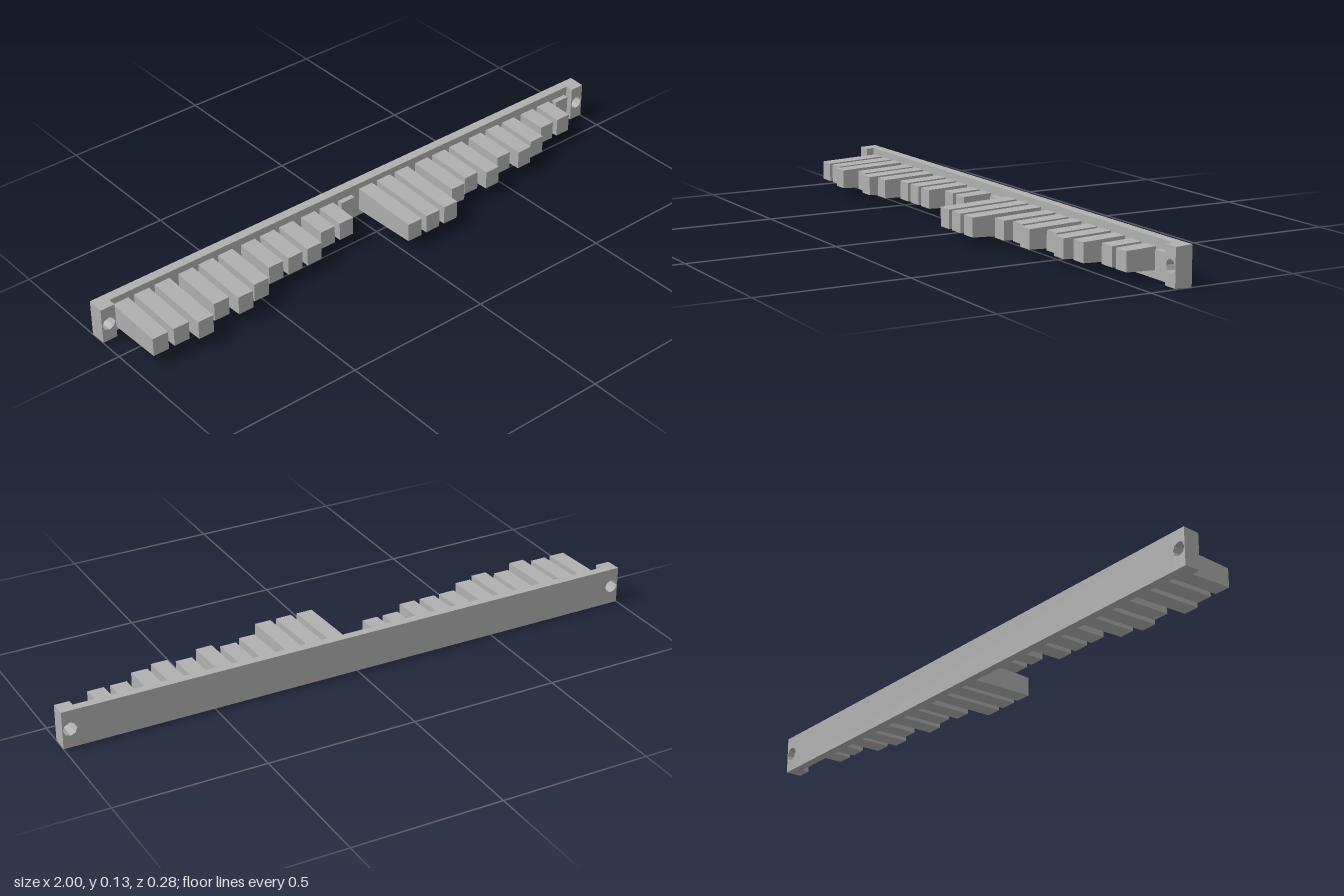
import * as THREE from 'three';

const MID = 0.063;    // height of the centre line
const BACK = -0.139;  // rear face of the rail
const DRAFT = 0.04;   // taper of top and bottom faces per unit of depth

// Moves top and bottom inward towards the front; half height is exact at refZ
function applyDraft(geometry, halfHeight, refZ) {
  const p = geometry.attributes.position;
  for (let i = 0; i < p.count; i++) {
    const scale = 1 + DRAFT * (refZ - p.getZ(i)) / halfHeight;
    p.setY(i, p.getY(i) * scale);
  }
  geometry.computeVertexNormals();
  return geometry;
}

// Box from x centre, width, half height at refZ and a z range
function draftedBox(width, halfHeight, z0, z1, refZ) {
  const g = new THREE.BoxGeometry(width, halfHeight * 2, z1 - z0);
  g.translate(0, 0, (z0 + z1) / 2);
  return applyDraft(g, halfHeight, refZ);
}

export function createModel() {
  const group = new THREE.Group();
  const grey = new THREE.MeshStandardMaterial({ color: 0xb0b0b0 });
  const add = (name, geometry, x) => {
    const mesh = new THREE.Mesh(geometry, grey);
    mesh.name = name;
    mesh.position.set(x, MID, 0);
    group.add(mesh);
  };

  // Thin rail between the two end blocks
  add('rail', draftedBox(1.9, MID, BACK, -0.108, BACK), 0);

  // Deeper end blocks, each with a screw hole through it
  const half = 0.025;
  const blockDepth = 0.057;
  for (const side of [-1, 1]) {
    const outline = new THREE.Shape([
      new THREE.Vector2(-half, -MID), new THREE.Vector2(half, -MID),
      new THREE.Vector2(half, MID), new THREE.Vector2(-half, MID),
    ]);
    const hole = [];
    for (let i = 0; i < 8; i++) {
      const a = -i * Math.PI / 4;
      hole.push(new THREE.Vector2(0.023 * Math.cos(a), 0.023 * Math.sin(a)));
    }
    outline.holes.push(new THREE.Path(hole));
    const g = new THREE.ExtrudeGeometry(outline, { depth: blockDepth, bevelEnabled: false });
    g.translate(0, 0, BACK);
    add(side > 0 ? 'leftEndBlock' : 'rightEndBlock', applyDraft(g, MID, BACK), side * (1 - half));
  }

  // Eight sets of three teeth; values are the z of each front face
  const fronts = [
    [0.098, 0.098, 0.118], [0.077, 0.098, 0.077], [0.036, 0.036, 0.036], [-0.006, -0.006, -0.091],
    [0.139, 0.139, 0.139], [0.077, 0.057, 0.077], [0.036, 0.057, 0.036], [-0.006, -0.006, -0.091],
  ];
  fronts.forEach((set, i) => set.forEach((z, j) => {
    const x = -0.912 + i * 0.239 + j * 0.0755;
    add('tooth', draftedBox(0.055, 0.0315, -0.11, z, z), x);
  }));

  return group;
}
